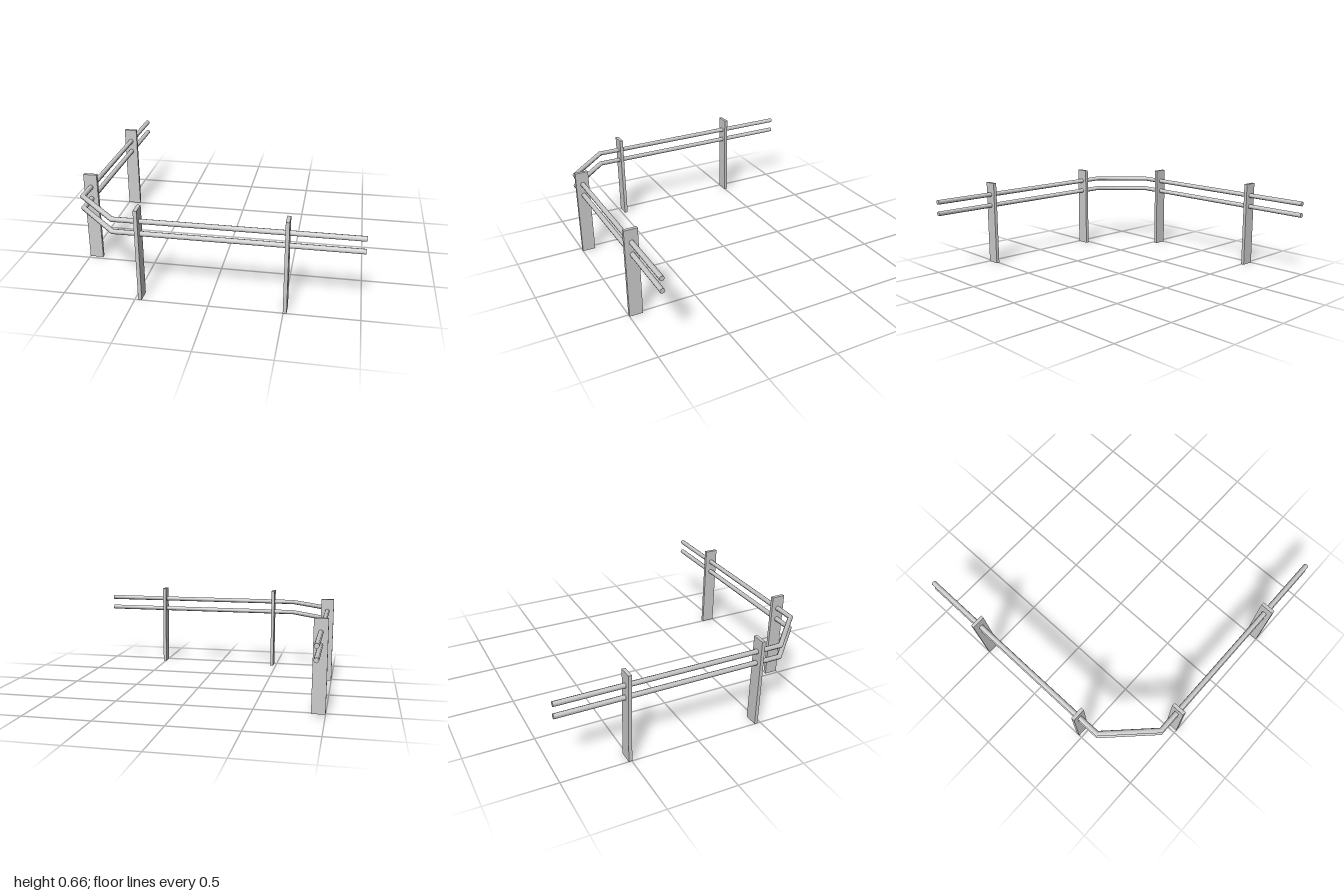
import * as THREE from 'three';
import { toCreasedNormals } from 'three/addons/utils/BufferGeometryUtils.js';

const material = new THREE.MeshStandardMaterial({ color: 0xcccccc });

// Rail centre line on the ground plane, with the inward mitre direction at each point
const MITRE = Math.tan(Math.PI / 8);
const path = [
  { x: 1, z: 0.95, nx: 0, nz: -1 },
  { x: -0.64, z: 0.95, nx: MITRE, nz: -1 },
  { x: -0.95, z: 0.64, nx: 1, nz: -MITRE },
  { x: -0.95, z: -1, nx: 1, nz: 0 },
];

// A round bar bent along the path with mitred corners
function createRail(name, height) {
  const geometry = new THREE.CylinderGeometry(0.018, 0.018, 1, 8, path.length - 1);
  const pos = geometry.attributes.position;
  for (let i = 0; i < pos.count; i++) {
    const p = path[Math.round((pos.getY(i) + 0.5) * (path.length - 1))];
    const side = pos.getX(i);
    pos.setXYZ(i, p.x + p.nx * side, height + pos.getZ(i), p.z + p.nz * side);
  }
  geometry.computeVertexNormals();
  const rail = new THREE.Mesh(toCreasedNormals(geometry, Math.PI / 3), material);
  rail.name = name;
  return rail;
}

// A flat upright plank standing on the ground
const postGeometry = new THREE.BoxGeometry(0.025, 0.66, 0.098);
function createPost(name, x, z, turn) {
  const post = new THREE.Mesh(postGeometry, material);
  post.name = name;
  post.position.set(x, 0.33, z);
  post.rotation.y = turn;
  return post;
}

export function createModel() {
  const group = new THREE.Group();
  group.name = 'cornerRailing';

  // Two parallel rails
  group.add(createRail('upperRail', 0.565), createRail('lowerRail', 0.476));

  // Two posts on each straight run, mirrored about the corner diagonal
  [-0.465, 0.51].forEach((d, i) => {
    group.add(createPost(`frontPost${i + 1}`, d, 0.951, 0));
    group.add(createPost(`sidePost${i + 1}`, -0.951, -d, Math.PI / 2));
  });
  return group;
}
